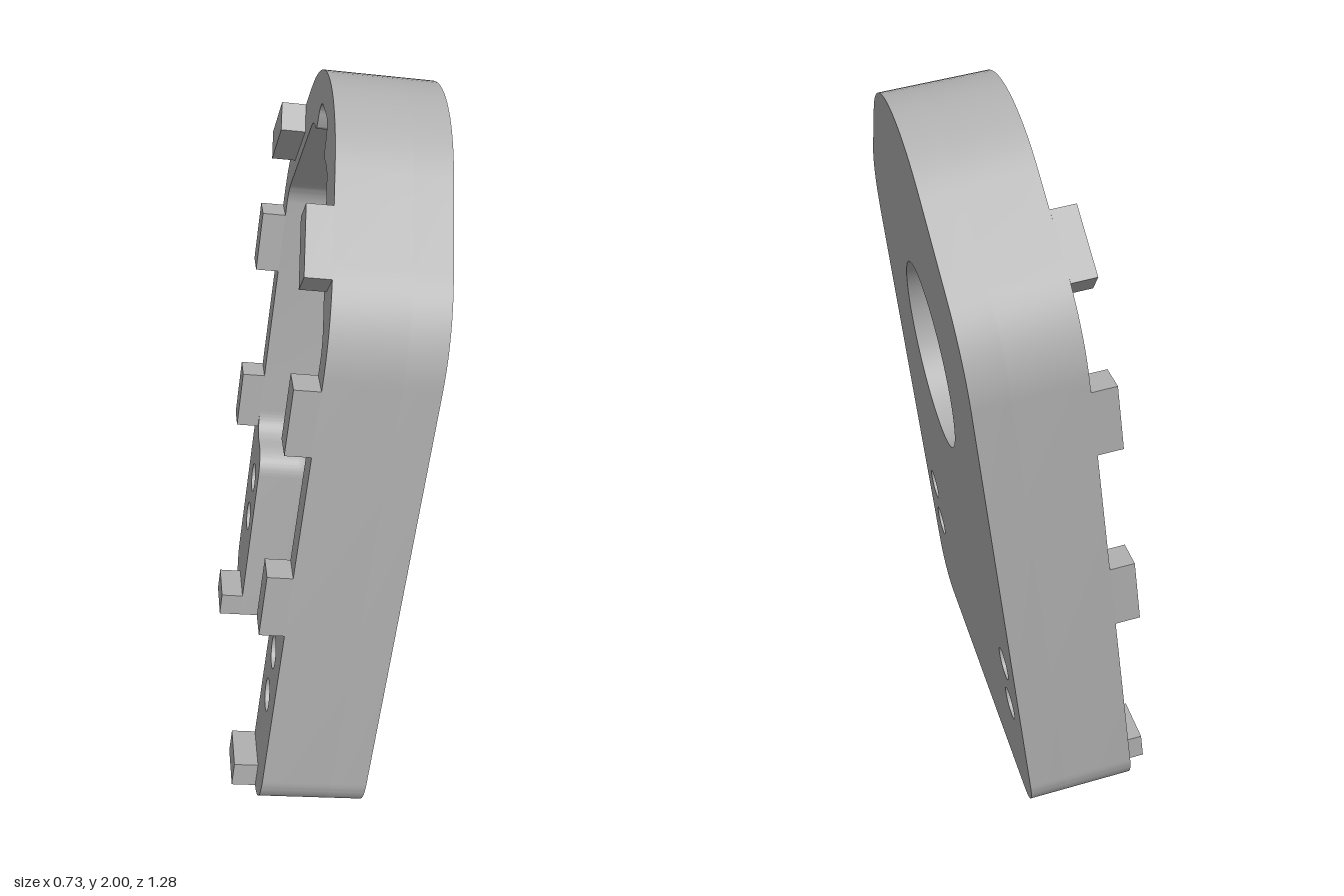
import * as THREE from 'three';
import { toCreasedNormals } from 'three/addons/utils/BufferGeometryUtils.js';

const V = (x, y) => new THREE.Vector2(x, y);
const HALF = 0.595, BOTTOM = -1.215, DEPTH = 0.295, WALL = 0.1, BOSS = 0.335, TAB = 0.068;

// Polygon corners [x, y, radius] turned into points with tangent arcs
function rounded(corners) {
  const out = [];
  corners.forEach(([x, y, r], i) => {
    const p = V(x, y);
    if (!r) { out.push(p); return; }
    const n = corners.length;
    const before = corners[(i + n - 1) % n], after = corners[(i + 1) % n];
    const a = V(before[0], before[1]).sub(p).normalize();
    const b = V(after[0], after[1]).sub(p).normalize();
    const half = Math.acos(a.dot(b)) / 2;
    const start = p.clone().addScaledVector(a, r / Math.tan(half));
    const c = p.clone().addScaledVector(a.clone().add(b).normalize(), r / Math.sin(half));
    const sweep = (Math.PI - 2 * half) * Math.sign(b.cross(a));
    const steps = Math.max(6, Math.ceil(Math.abs(sweep) * 14));
    for (let k = 0; k <= steps; k++) {
      out.push(start.clone().rotateAround(c, sweep * k / steps));
    }
  });
  return out;
}

const mirrored = (pts) => pts.map(([x, y, r]) => [-x, y, r]).reverse();

function extrude(points, holes, z0, z1) {
  const shape = new THREE.Shape(points);
  for (const [x, y, r] of holes) {
    shape.holes.push(new THREE.Path().absarc(x, y, r, 0, Math.PI * 2, true));
  }
  const g = new THREE.ExtrudeGeometry(shape, { depth: z1 - z0, bevelEnabled: false, curveSegments: 40 });
  g.translate(0, 0, z0);
  return toCreasedNormals(g, 0.5);
}

// Concave fillet between a boss and the plate, swept around the boss edge
function filletGeometry(side) {
  const R = 0.07, path = [[BOSS, BOTTOM, -1, 0]];
  for (let k = 0; k <= 8; k++) {
    const t = Math.PI - k * Math.PI / 16, c = Math.cos(t), s = Math.sin(t);
    path.push([BOSS + R + R * c, -0.67 + R * s, c, s]);
  }
  path.push([0.52, -0.6, 0, 1]);
  const section = [[0, 0]];
  for (let k = 0; k <= 8; k++) {
    const t = k * Math.PI / 16;
    section.push([R * (1 - Math.sin(t)), R * (1 - Math.cos(t))]);
  }
  const pos = [], index = [], n = section.length;
  for (const [x, y, nx, ny] of path) {
    for (const [s, h] of section) pos.push(side * (x + nx * s), y + ny * s, -WALL - h);
  }
  const tri = (a, b, c) => (side > 0 ? index.push(a, b, c) : index.push(a, c, b));
  for (let i = 0; i < path.length - 1; i++) {
    for (let j = 0; j < n; j++) {
      const a = i * n + j, b = i * n + (j + 1) % n;
      tri(a, b, a + n);
      tri(b, b + n, a + n);
    }
  }
  for (let j = 1; j < n - 1; j++) tri(0, j + 1, j);
  const g = new THREE.BufferGeometry();
  g.setAttribute('position', new THREE.Float32BufferAttribute(pos, 3));
  g.setIndex(index);
  return toCreasedNormals(g, 0.5);
}

export function createModel() {
  const grey = new THREE.MeshStandardMaterial({ color: 0xb0b0b0, side: THREE.DoubleSide });
  grey.name = 'grey';
  const model = new THREE.Group();
  model.name = 'housingCover';
  const cover = new THREE.Group();
  cover.name = 'tiltedCover';
  model.add(cover);
  const add = (name, geometry) => {
    const mesh = new THREE.Mesh(geometry, grey);
    mesh.name = name;
    cover.add(mesh);
    return mesh;
  };

  const screwHoles = [];
  for (const s of [-1, 1]) for (const y of [-0.75, -0.9]) screwHoles.push([s * 0.455, y, 0.046]);

  // Face plate with the large round opening
  const rightOuter = [[HALF, BOTTOM, 0.12], [HALF, 0.32, 0.36]];
  const outer = [...rightOuter, [0, 0.915, 0.43], ...mirrored(rightOuter)];
  add('facePlate', extrude(rounded(outer), [[0, 0, 0.262], ...screwHoles], -WALL, 0));

  // Rim and screw bosses, open at the bottom, with a notch at the crown
  const leftInner = [
    [-BOSS, BOTTOM, 0], [-BOSS, -0.6, 0.07], [-0.51, -0.6, 0.07], [-0.51, 0.23, 0.12],
    [-0.18, 0.56, 0.08], [-0.1, 0.56, 0.02], [-0.085, 0.65, 0.05],
  ];
  add('rim', extrude(rounded([...outer, ...leftInner, ...mirrored(leftInner)]),
    screwHoles, -DEPTH, -WALL));

  // Locating tabs standing on the back of the rim
  for (const s of [-1, 1]) {
    const side = s > 0 ? 'right' : 'left';
    add(side + 'BossFillet', filletGeometry(s));
    const tab = (name, w, h, x, y, turn = 0) => {
      const mesh = add(side + name, new THREE.BoxGeometry(w, h, TAB));
      mesh.position.set(s * x, y, -DEPTH - TAB / 2);
      mesh.rotation.z = s * turn;
    };
    tab('MiddleTab', 0.085, 0.185, HALF - 0.0425, 0.055);
    tab('LowerTab', 0.085, 0.185, HALF - 0.0425, -0.495);
    tab('UpperTab', 0.085, 0.19, 0.413, 0.442, Math.PI / 4);
    tab('FootTab', 0.145, 0.075, 0.4075, BOTTOM + 0.0375);
  }

  // Overall tilt of the part
  const basis = new THREE.Matrix4().makeBasis(
    new THREE.Vector3(0.1347, -0.0612, -0.9887),
    new THREE.Vector3(0.1443, 0.9887, -0.0415),
    new THREE.Vector3(0.98, -0.137, 0.142));
  cover.quaternion.setFromRotationMatrix(basis);
  cover.position.set(0.23, 1.235, 0);
  return model;
}
